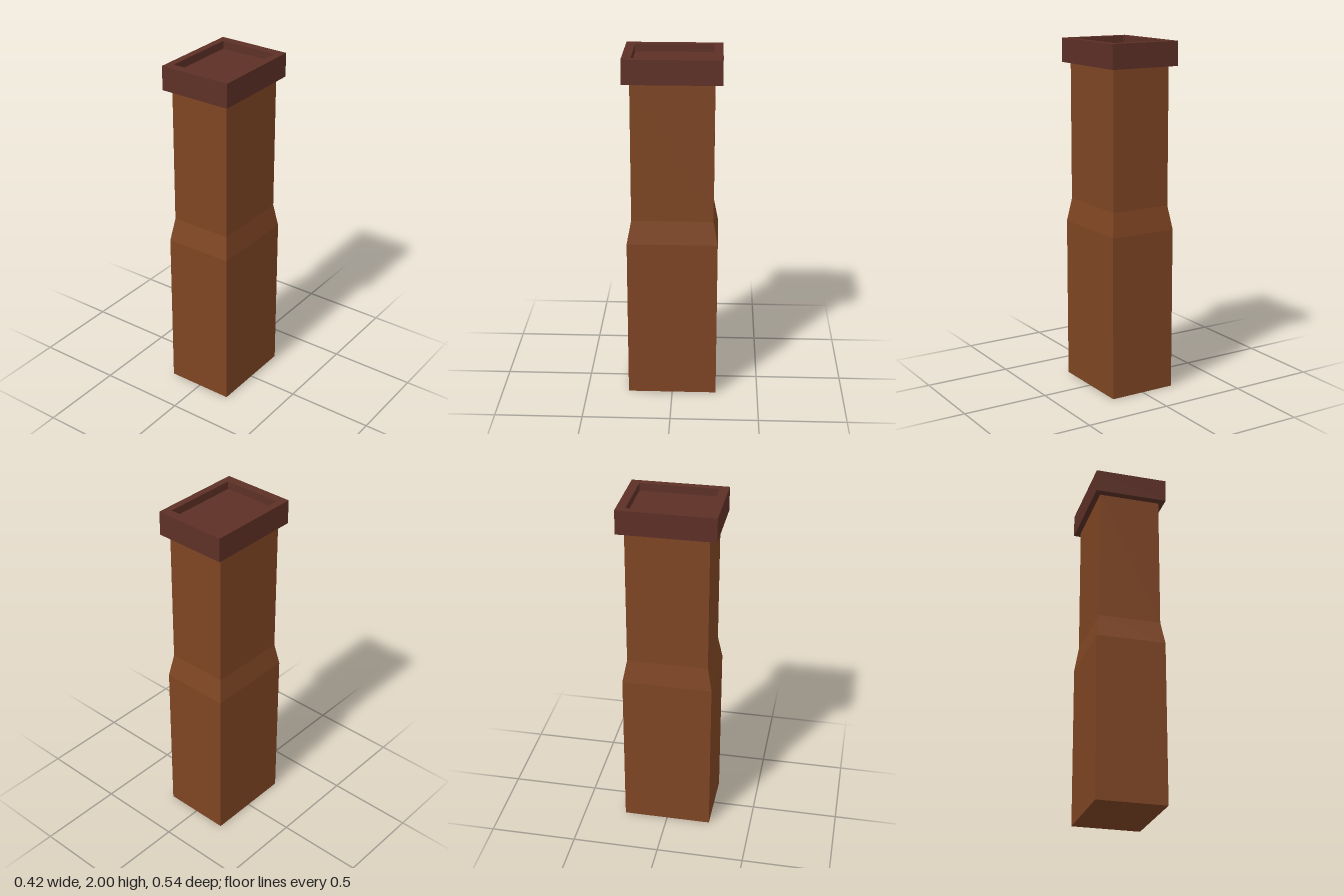
import * as THREE from 'three';

const ASPECT = 0.775; // width relative to depth, shared by every section

// Rectangular solid from a profile of [half depth, height], bottom to top
function rectLoft(name, profile, color) {
  const points = profile.map(([d, y]) => new THREE.Vector2(d * Math.SQRT2, y));
  const lathe = new THREE.LatheGeometry(points, 4);
  lathe.rotateY(Math.PI / 4);
  lathe.scale(ASPECT, 1, 1);
  const geometry = lathe.toNonIndexed();
  geometry.computeVertexNormals();
  const material = new THREE.MeshStandardMaterial({ color, flatShading: true });
  const mesh = new THREE.Mesh(geometry, material);
  mesh.name = name;
  return mesh;
}

export function createModel() {
  const group = new THREE.Group();
  group.name = 'chimney';

  // Shaft: wide base, sloped shoulder, narrower stack
  group.add(rectLoft('shaft', [
    [0, 0], [0.256, 0], [0.256, 0.94], [0.23, 1.075], [0.23, 1.865],
  ], 0x7e4523));

  // Cap: overhanging block with a shallow recess in its top
  group.add(rectLoft('cap', [
    [0, 1.863], [0.272, 1.863], [0.272, 2], [0.221, 2], [0.221, 1.955], [0, 1.955],
  ], 0x5d3026));

  return group;
}
